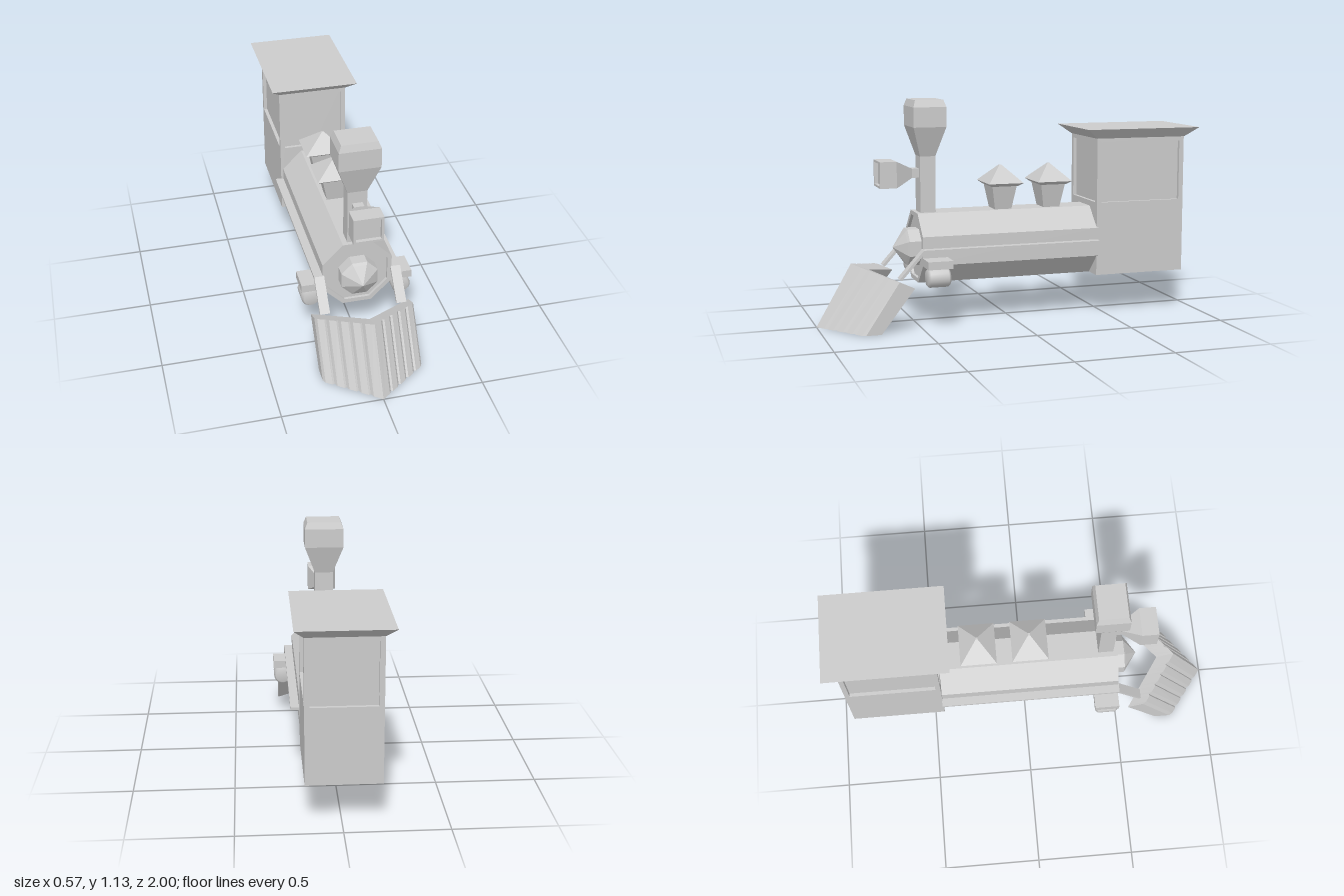
import * as THREE from 'three';

const grey = new THREE.MeshStandardMaterial({ color: 0xcccccc });

// Mesh with faceted normals (or the geometry's own smooth ones).
function part(parent, name, geometry, smooth = false) {
  if (!smooth) {
    if (geometry.index) geometry = geometry.toNonIndexed();
    geometry.computeVertexNormals();
  }
  const mesh = new THREE.Mesh(geometry, grey);
  mesh.name = name;
  parent.add(mesh);
  return mesh;
}

// Turned solid with flat sides; the profile lists [half width, height] from the bottom up.
function faceted(profile, sides) {
  const k = 1 / Math.cos(Math.PI / sides);
  const points = profile.map(([r, y]) => new THREE.Vector2(r * k, y));
  return new THREE.LatheGeometry(points, sides).rotateY(Math.PI / sides);
}

function box(x0, x1, y0, y1, z0, z1) {
  return new THREE.BoxGeometry(x1 - x0, y1 - y0, z1 - z0)
    .translate((x0 + x1) / 2, (y0 + y1) / 2, (z0 + z1) / 2);
}

// Cab wall with a rectangular opening, extruded outward along +z from z = 0.
function wall(width, y0, y1, holeWidth, h0, h1, depth) {
  const rect = (C, w, a, b) => new C([[-w, a], [w, a], [w, b], [-w, b]].map(p => new THREE.Vector2(...p)));
  const shape = rect(THREE.Shape, width / 2, y0, y1);
  shape.holes.push(rect(THREE.Path, holeWidth / 2, h0, h1));
  return new THREE.ExtrudeGeometry(shape, { depth, bevelEnabled: false });
}

// Slanted V-shaped plough with raised slats, lofted across x.
function ploughGeometry() {
  const half = 0.252, slats = 5, stations = [];
  for (let i = -slats; i < slats; i++) {
    for (const [f, groove] of [[0, 0.012], [0.2, 0], [0.8, 0], [1, 0.012]]) {
      const u = (i + f) / slats, t = Math.abs(u);
      const g = Math.abs(u) < 0.01 ? 0 : groove;
      stations.push([
        [u * half, 0, 1 - 0.19 * t - g],
        [u * half, 0.315 - 0.055 * t - g * 0.4, 0.82 - 0.18 * t - g],
        [u * half, 0.28 - 0.06 * t, 0.73 - 0.18 * t],
        [u * half, 0, 0.91 - 0.19 * t],
      ]);
    }
  }
  const pos = [];
  const quad = (a, b, c, d) => pos.push(...a, ...b, ...c, ...a, ...c, ...d);
  for (let s = 0; s + 1 < stations.length; s++) {
    const A = stations[s], B = stations[s + 1];
    if (B[0][0] - A[0][0] < 1e-6) continue;
    for (let k = 0; k < 4; k++) quad(A[k], B[k], B[(k + 1) % 4], A[(k + 1) % 4]);
  }
  const first = stations[0], last = stations[stations.length - 1];
  quad(first[0], first[1], first[2], first[3]);
  quad(last[0], last[3], last[2], last[1]);
  const geometry = new THREE.BufferGeometry();
  geometry.setAttribute('position', new THREE.Float32BufferAttribute(pos, 3));
  return geometry;
}

export function createModel() {
  const model = new THREE.Group();
  model.name = 'steamLocomotive';

  // Octagonal boiler with a recessed front plate and a pointed nose
  part(model, 'boiler', faceted([
    [0, -0.45], [0.177, -0.45], [0.177, 0.49], [0.155, 0.49], [0.155, 0.475], [0, 0.475],
  ], 8).rotateX(Math.PI / 2).translate(0, 0.387, 0));
  part(model, 'boilerNose', faceted([
    [0, 0.46], [0.092, 0.46], [0.092, 0.535], [0.08, 0.545], [0, 0.605],
  ], 8).rotateX(Math.PI / 2).translate(0, 0.387, 0));

  // Smokestack
  part(model, 'smokestack', faceted([
    [0, 0.55], [0.049, 0.55], [0.049, 0.85], [0.104, 1.0], [0.104, 1.1], [0.09, 1.135], [0, 1.135],
  ], 4).scale(1, 1, 0.81).translate(0.002, 0, 0.429));

  // Headlamp on a short bracket in front of the stack
  part(model, 'headlamp', faceted([
    [0, 0.44], [0.026, 0.44], [0.026, 0.505], [0.075, 0.595], [0.075, 0.68],
    [0.063, 0.68], [0.063, 0.66], [0, 0.66],
  ], 4).rotateX(Math.PI / 2).scale(1, 0.89, 1).translate(0.002, 0.764, 0));

  // Steam and sand domes with pyramid caps
  for (const [name, z] of [['frontDome', 0.03], ['rearDome', -0.235]]) {
    part(model, name, faceted([
      [0, 0.55], [0.05, 0.55], [0.078, 0.685], [0.084, 0.685], [0.11, 0.702], [0.006, 0.79], [0, 0.79],
    ], 4).scale(1, 1, 0.84).translate(0, 0, z));
  }

  // Cab: inner core plus four framed walls with sunken window panels
  const cab = new THREE.Group();
  cab.name = 'cab';
  cab.position.set(-0.007, 0, -0.687);
  model.add(cab);
  const w = 0.364, l = 0.49, d = 0.018;
  part(cab, 'cabCore', box(-w / 2 + d, w / 2 - d, 0.21, 0.925, -l / 2 + d, l / 2 - d));
  ['front', 'left', 'back', 'right'].forEach((side, i) => {
    const [span, reach] = i % 2 ? [l, w / 2] : [w, l / 2];
    const mesh = part(cab, side + 'CabWall',
      wall(span, 0.21, 0.925, span - 0.05, 0.592, 0.903, d).translate(0, 0, reach - d));
    mesh.rotation.y = i * Math.PI / 2;
  });
  // Flared roof
  part(cab, 'cabRoof', faceted([
    [0, 0.925], [0.182, 0.925], [0.229, 0.975], [0, 0.975],
  ], 4).scale(1, 1, 1.36));

  // Running boards bending down into the plough struts, valve boxes and cylinders
  const ribbon = new THREE.Shape([
    [-0.445, 0.387], [0.488, 0.387], [0.608, 0.255], [0.62, 0.262], [0.495, 0.4], [-0.445, 0.4],
  ].map(p => new THREE.Vector2(...p)));
  const drum = [[0, -0.058], [0.038, -0.058], [0.048, -0.046], [0.048, 0.046], [0.038, 0.058], [0, 0.058]];
  for (const [side, s] of [['left', 1], ['right', -1]]) {
    const board = new THREE.ExtrudeGeometry(ribbon, { depth: 0.05, bevelEnabled: false })
      .rotateY(-Math.PI / 2).translate(s > 0 ? 0.22 : -0.17, 0, 0);
    part(model, side + 'RunningBoard', board);
    part(model, side + 'ValveBox', box(-0.057, 0.057, 0.313, 0.353, 0.362, 0.49).translate(s * 0.226, 0, 0));
    part(model, side + 'Cylinder', new THREE.LatheGeometry(drum.map(p => new THREE.Vector2(...p)), 24)
      .rotateX(Math.PI / 2).translate(s * 0.233, 0.264, 0.428), true);
  }

  part(model, 'plough', ploughGeometry());
  return model;
}
